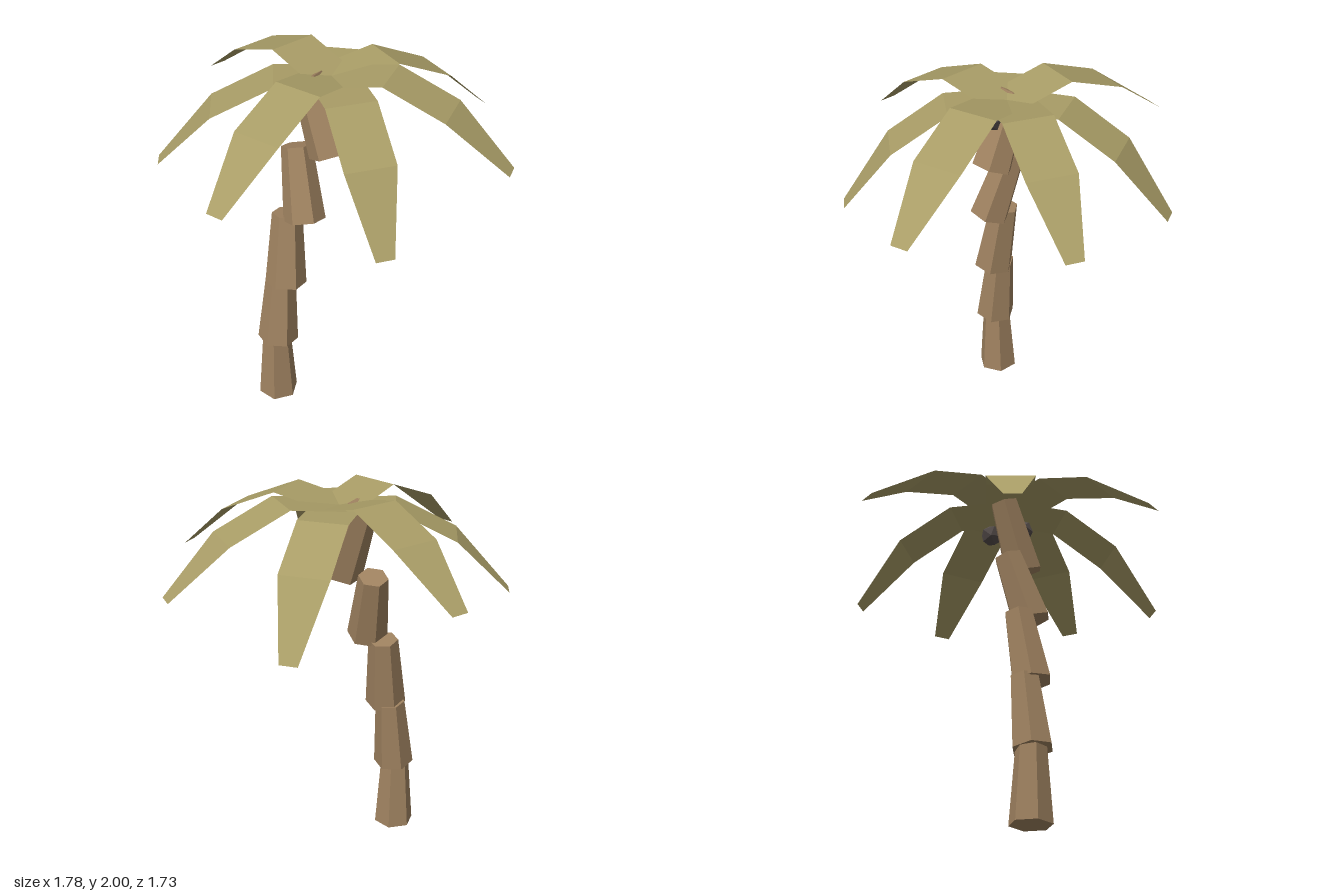
import * as THREE from 'three';

const mat = (name, color, side = THREE.FrontSide) => {
  const m = new THREE.MeshStandardMaterial({ color, flatShading: true, side });
  m.name = name;
  return m;
};

// Tapered six-sided trunk piece between two centre points
function trunkPiece(bottom, top, roll, material) {
  const a = new THREE.Vector3(...bottom), b = new THREE.Vector3(...top);
  const axis = b.clone().sub(a);
  const geo = new THREE.CylinderGeometry(0.08, 0.11, axis.length(), 6);
  geo.rotateY(roll);
  const mesh = new THREE.Mesh(geo, material);
  mesh.position.copy(a).add(b).multiplyScalar(0.5);
  mesh.quaternion.setFromUnitVectors(new THREE.Vector3(0, 1, 0), axis.normalize());
  return mesh;
}

// Flat leaf strip bent at two creases, tapering to a blunt tip
function frondGeometry(points) {
  const [, crease, middle] = points;
  const dx = middle[0] - crease[0], dz = middle[2] - crease[2];
  const len = Math.hypot(dx, dz);
  const halfWidths = [0.13, 0.13, 0.13, 0.047];
  const rows = points.map(([x, y, z], i) => {
    const sx = (dz / len) * halfWidths[i], sz = (-dx / len) * halfWidths[i];
    return [[x + sx, y, z + sz], [x - sx, y, z - sz]];
  });
  const pos = [];
  for (let i = 0; i < 3; i++) {
    const [a, b] = rows[i], [c, d] = rows[i + 1];
    pos.push(...a, ...b, ...c, ...b, ...d, ...c);
  }
  const geo = new THREE.BufferGeometry();
  geo.setAttribute('position', new THREE.Float32BufferAttribute(pos, 3));
  geo.computeVertexNormals();
  return geo;
}

export function createModel() {
  const bark = mat('bark brown', 0x9f8260);
  const leaf = mat('leaf olive', 0xa89c66, THREE.DoubleSide);
  const shell = mat('nut grey', 0x544c4a);
  const model = new THREE.Group();
  model.name = 'palmTree';

  // Leaning trunk of stacked pieces: bottom centre, top centre, roll
  const trunk = new THREE.Group();
  trunk.name = 'trunk';
  [
    [[-0.36, 0, 0.025], [-0.36, 0.39, 0.03], Math.PI / 6],
    [[-0.355, 0.385, 0.04], [-0.32, 0.78, 0.015], 0.15],
    [[-0.305, 0.765, 0.055], [-0.27, 1.165, 0.0], 0.2],
    [[-0.205, 1.165, 0.09], [-0.2, 1.54, -0.035], 0.15],
    [[-0.065, 1.535, 0.095], [-0.14, 1.92, -0.04], 0.2],
  ].forEach(([a, b, roll], i) => {
    const piece = trunkPiece(a, b, roll, bark);
    piece.name = `trunkPiece${i + 1}`;
    trunk.add(piece);
  });
  model.add(trunk);

  // Seven fronds sharing one root: first crease, second crease, tip
  const root = [-0.03, 1.925, 0.02];
  const fronds = new THREE.Group();
  fronds.name = 'fronds';
  const paths = {
    frontFrond: [[-0.04, 1.92, 0.325], [-0.05, 1.73, 0.61], [-0.07, 1.39, 0.86]],
    frontLeftFrond: [[0.2, 1.98, 0.22], [0.44, 1.845, 0.425], [0.67, 1.58, 0.635]],
    leftFrond: [[0.275, 1.97, -0.03], [0.585, 1.825, -0.085], [0.88, 1.55, -0.135]],
    backLeftFrond: [[0.115, 1.93, -0.25], [0.26, 1.755, -0.5], [0.385, 1.42, -0.73]],
    backRightFrond: [[-0.14, 2.0, -0.255], [-0.26, 1.89, -0.545], [-0.39, 1.65, -0.85]],
    rightFrond: [[-0.305, 1.935, -0.055], [-0.605, 1.78, -0.145], [-0.875, 1.485, -0.22]],
    frontRightFrond: [[-0.265, 1.985, 0.21], [-0.525, 1.86, 0.385], [-0.785, 1.61, 0.565]],
  };
  for (const [name, path] of Object.entries(paths)) {
    const frond = new THREE.Mesh(frondGeometry([root, ...path]), leaf);
    frond.name = name;
    fronds.add(frond);
  }
  model.add(fronds);

  // Nuts tucked under the crown
  [[-0.04, 1.82, 0.1], [0.04, 1.81, -0.06]].forEach((p, i) => {
    const nut = new THREE.Mesh(new THREE.IcosahedronGeometry(0.063, 0), shell);
    nut.name = `nut${i + 1}`;
    nut.position.set(...p);
    nut.rotation.set(0.3, 0.4 + i, 0);
    model.add(nut);
  });
  return model;
}
